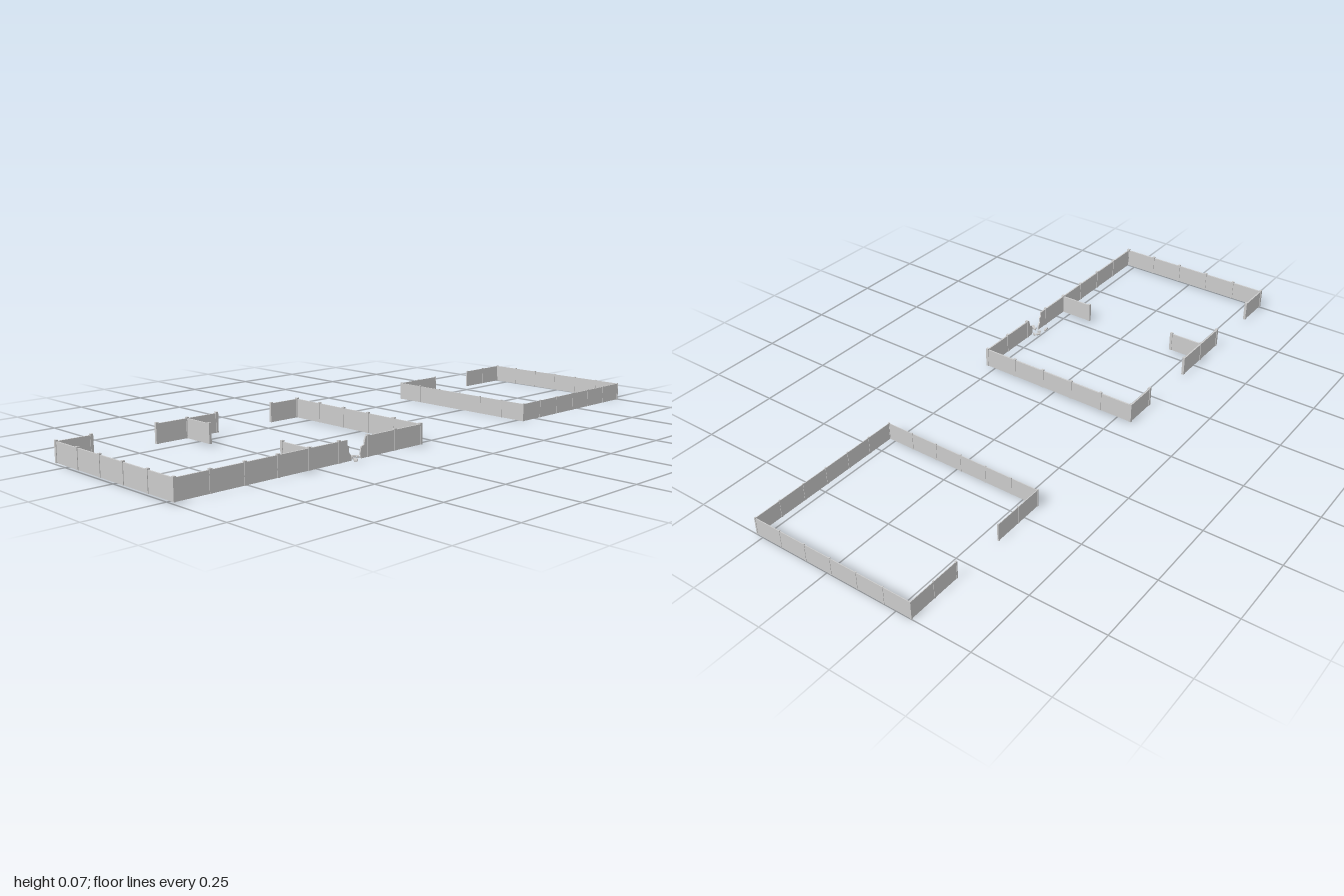
import * as THREE from 'three';

const mat = new THREE.MeshStandardMaterial({ color: 0xcccccc, flatShading: true });

function box(parent, name, size, pos) {
  const m = new THREE.Mesh(new THREE.BoxGeometry(...size), mat);
  m.name = name;
  m.position.set(...pos);
  parent.add(m);
  return m;
}

// Straight run of wall panels with a post at every bay line
function wallRun(parent, name, [x0, z0], [x1, z1], bays, style) {
  const run = new THREE.Group();
  run.name = name;
  const len = Math.hypot(x1 - x0, z1 - z0);
  const { bottom, top, thick, post, postTop } = style;
  run.position.set(x0, 0, z0);
  run.rotation.y = Math.atan2(-(z1 - z0), x1 - x0);
  box(run, 'wallPanel', [len, top - bottom, thick], [len / 2, (top + bottom) / 2, 0]);
  for (let i = 0; i <= bays; i++) {
    box(run, 'wallPost', [post, postTop - bottom, post], [(len * i) / bays, (postTop + bottom) / 2, 0]);
  }
  parent.add(run);
}

// Broken panel cut to a ragged outline
function brokenPanel(parent, points, z, thick) {
  const shape = new THREE.Shape(points.map(([x, y]) => new THREE.Vector2(x, y)));
  const geo = new THREE.ExtrudeGeometry(shape, { depth: thick, bevelEnabled: false });
  const m = new THREE.Mesh(geo, mat);
  m.name = 'brokenPanel';
  m.position.z = z - thick / 2;
  parent.add(m);
}

function largeEnclosure() {
  const g = new THREE.Group();
  g.name = 'largeEnclosure';
  const s = { bottom: 0.005, top: 0.069, thick: 0.005, post: 0.009, postTop: 0.073 };
  const L = -0.9955, R = -0.08, F = 0.2775, B = -0.3005;
  const bx = (R - L) / 8, bz = (F - B) / 5;
  const X = (i) => L + bx * i;

  wallRun(g, 'rightWall', [L, F], [L, B], 5, s);
  wallRun(g, 'leftWall', [R, F], [R, B], 5, s);
  // Front wall with one breached bay
  wallRun(g, 'frontWall', [L, F], [X(5), F], 5, s);
  wallRun(g, 'frontWall', [X(6), F], [R, F], 2, s);
  brokenPanel(g, [[X(5), 0.005], [-0.375, 0.005], [-0.379, 0.022], [-0.386, 0.032],
    [-0.385, 0.048], [-0.393, 0.055], [-0.392, 0.069], [X(5), 0.069]], F, s.thick);
  brokenPanel(g, [[X(6), 0.005], [X(6), 0.069], [-0.318, 0.069], [-0.322, 0.058],
    [-0.323, 0.045], [-0.336, 0.04], [-0.34, 0.022], [-0.336, 0.005]], F, s.thick);
  // Back wall with two wide openings
  for (const [a, b] of [[0, 1], [3, 5], [7, 8]]) {
    wallRun(g, 'backWall', [X(a), B], [X(b), B], b - a, s);
  }
  // Short dividing walls
  wallRun(g, 'backDivider', [X(4), B], [X(4), B + bz], 1, s);
  wallRun(g, 'frontDivider', [X(4), F], [X(4), F - bz], 1, s);

  // Fallen wall fragments: x, z, length, width, turn
  const bits = [
    [-0.388, 0.251, 0.02, 0.007, 0.2], [-0.345, 0.254, 0.015, 0.008, -0.5],
    [-0.374, 0.296, 0.02, 0.01, 0.7], [-0.336, 0.265, 0.014, 0.006, 0.9],
    [-0.362, 0.262, 0.012, 0.007, -0.9], [-0.368, 0.285, 0.012, 0.006, 0.3],
  ];
  for (const [x, z, l, w, r] of bits) {
    box(g, 'rubble', [l, 0.005, w], [x, 0.0085, z]).rotation.y = r;
  }
  return g;
}

function smallEnclosure() {
  const g = new THREE.Group();
  g.name = 'smallEnclosure';
  const s = { bottom: 0, top: 0.059, thick: 0.0025, post: 0.005, postTop: 0.061 };
  const L = 0.435, R = 0.9975, F = 0.2725, B = -0.301;
  const X = (i) => L + ((R - L) / 6) * i;
  wallRun(g, 'rightWall', [L, F], [L, B], 6, s);
  wallRun(g, 'leftWall', [R, F], [R, B], 6, s);
  wallRun(g, 'frontWall', [L, F], [R, F], 6, s);
  // Back wall with a central opening
  wallRun(g, 'backWall', [L, B], [X(2), B], 2, s);
  wallRun(g, 'backWall', [X(4), B], [R, B], 2, s);
  return g;
}

export function createModel() {
  const model = new THREE.Group();
  model.name = 'walledEnclosures';
  model.add(largeEnclosure(), smallEnclosure());
  return model;
}
